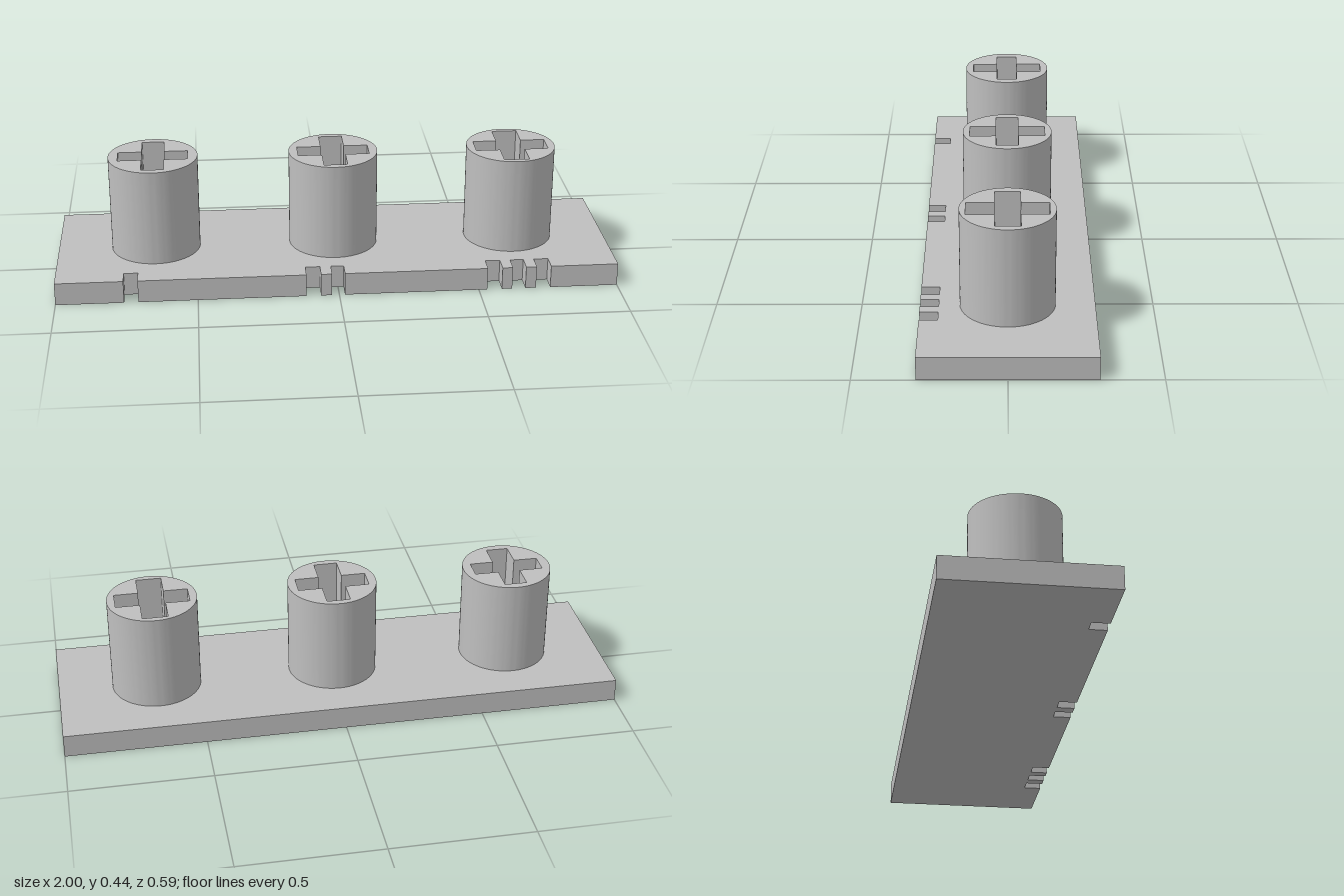
import * as THREE from 'three';
import { toCreasedNormals } from 'three/addons/utils/BufferGeometryUtils.js';

const PLATE_TOP = 0.083, TOP = 0.435, HALF_DEPTH = 0.293, RADIUS = 0.16;

// Shape drawn in plan (its y is -z), raised from bottom to top
function raise(shape, bottom, top) {
  const geometry = new THREE.ExtrudeGeometry(shape, { depth: top - bottom, bevelEnabled: false, curveSegments: 64 });
  geometry.rotateX(-Math.PI / 2).translate(0, bottom, 0);
  return toCreasedNormals(geometry, 0.5);
}

// Plus-shaped socket outline: half lengths a (x), b (z) and half arm widths u, v
function crossPath(a, b, u, v) {
  const points = [[a, v], [u, v], [u, b], [-u, b], [-u, v], [-a, v],
    [-a, -v], [-u, -v], [-u, -b], [u, -b], [u, -v], [a, -v]];
  return new THREE.Path(points.map(([x, y]) => new THREE.Vector2(x, y)));
}

export function createModel() {
  const model = new THREE.Group();
  const grey = new THREE.MeshStandardMaterial({ color: 0xbfbfbf });
  grey.name = 'plain grey';

  // Base plate, its front edge notched with one, two and three slots
  const notches = [[-0.76, -0.71], [-0.117, -0.065], [-0.026, 0.02],
    [0.53, 0.583], [0.62, 0.668], [0.706, 0.758]];
  const plate = new THREE.Shape();
  plate.moveTo(-1, -HALF_DEPTH);
  for (const [x0, x1] of notches) {
    plate.lineTo(x0, -HALF_DEPTH);
    plate.lineTo(x0, -0.23);
    plate.lineTo(x1, -0.23);
    plate.lineTo(x1, -HALF_DEPTH);
  }
  plate.lineTo(1, -HALF_DEPTH);
  plate.lineTo(1, HALF_DEPTH);
  plate.lineTo(-1, HALF_DEPTH);
  const base = new THREE.Mesh(raise(plate, 0, PLATE_TOP), grey);
  base.name = 'basePlate';
  model.add(base);

  // Three posts with cross sockets that widen slightly from left to right
  const sockets = [[0.125, 0.131, 0.04, 0.038], [0.128, 0.135, 0.042, 0.04], [0.131, 0.138, 0.045, 0.043]];
  sockets.forEach((size, i) => {
    const ring = new THREE.Shape();
    ring.absarc(0, 0, RADIUS, 0, Math.PI * 2);
    ring.holes.push(crossPath(...size));
    const post = new THREE.Mesh(raise(ring, PLATE_TOP, TOP), grey);
    post.name = 'socketPost' + (i + 1);
    post.position.x = (i - 1) * 0.647;
    model.add(post);
  });
  return model;
}
